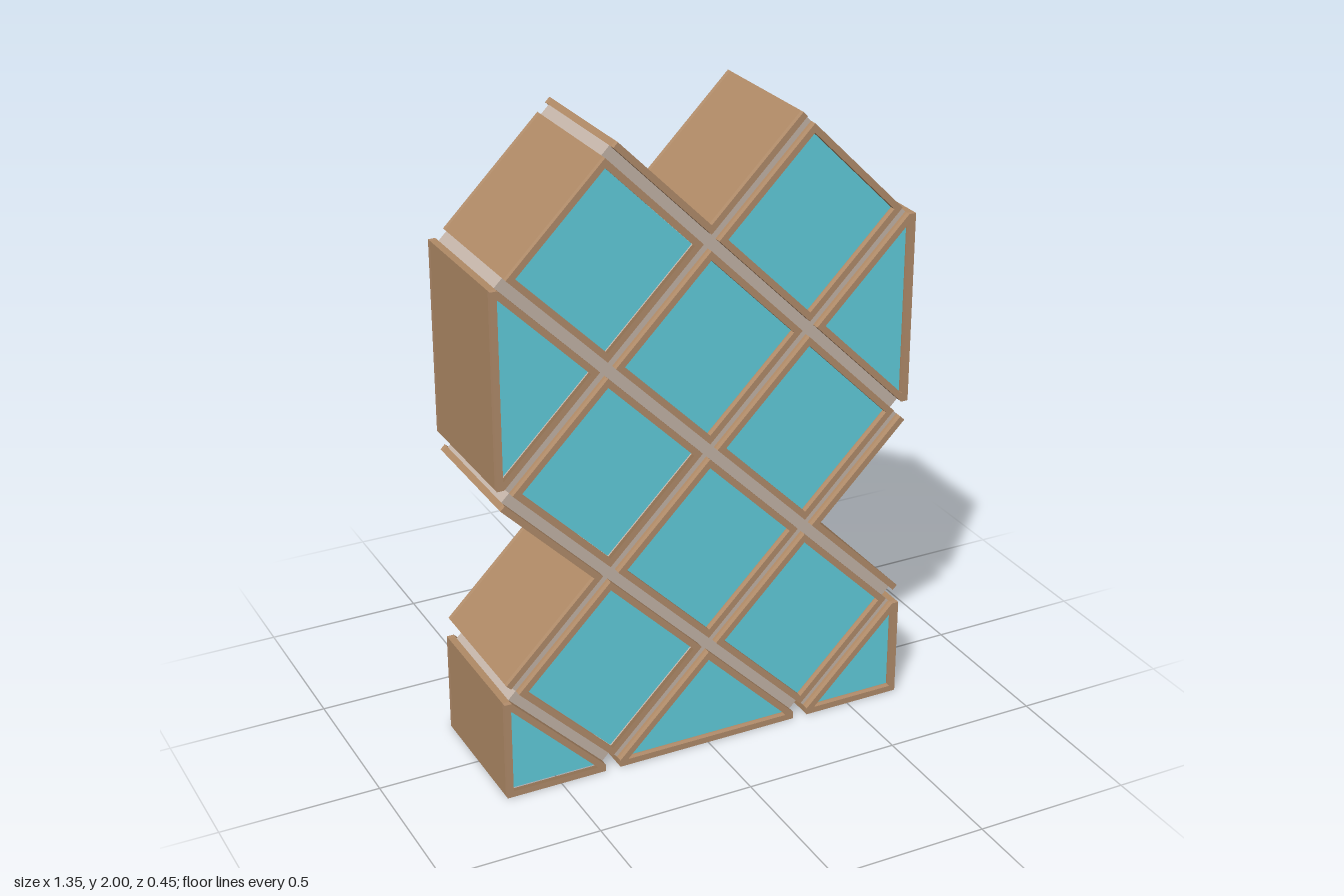
import * as THREE from 'three';

const S = 0.3272;        // lattice half-pitch
const H = 0.3025;        // outer half-diagonal of a cell
const T = 0.02;          // board thickness
const HI = H - T * Math.SQRT2; // inner half-diagonal
const W = 0.0225;        // outer wall beyond the centre line of a cut cell
const D = 0.225;         // half depth
const PANEL = 0.205, STRIP = 0.2, BAND = 0.015;

const wood = new THREE.MeshStandardMaterial({ color: 0xb08a66 });
const edgeWood = new THREE.MeshStandardMaterial({ color: 0xb48e6c });
const blue = new THREE.MeshStandardMaterial({ color: 0x62d0e0 });
const taupe = new THREE.MeshStandardMaterial({ color: 0xc6b6aa });

// Cell outlines around the cell centre: r = half-diagonal, w = reach of the straight wall
const outlines = {
  full: (r) => [[r, 0], [0, r], [-r, 0], [0, -r]],
  side: (r, w) => [[-r, 0], [0, -r], [w, -r], [w, r], [0, r]],
  bottom: (r, w) => [[0, r], [-r, 0], [-r, -w], [r, -w], [r, 0]],
  corner: (r, w) => [[w, r], [0, r], [-r, 0], [-r, -w], [w, -w]],
};

const toPoints = (pts, sx = 1) => pts.map(([x, y]) => new THREE.Vector2(x * sx, y));

function slab(shape, z0, z1, material, name) {
  const geo = new THREE.ExtrudeGeometry(shape, { depth: z1 - z0, bevelEnabled: false });
  geo.translate(0, 0, z0);
  const mesh = new THREE.Mesh(geo, material);
  mesh.name = name;
  return mesh;
}

// Board body with a thin edge band at the front and back
function boards(group, shape) {
  group.add(slab(shape, -D + BAND, D - BAND, wood, 'boards'));
  group.add(slab(shape, D - BAND, D, edgeWood, 'frontEdge'));
  group.add(slab(shape, -D, -D + BAND, edgeWood, 'backEdge'));
}

// Framed compartment closed by a recessed panel
function makeCell(kind, sx) {
  const group = new THREE.Group();
  group.name = kind + 'Cell';
  const inner = toPoints(outlines[kind](HI, W - T), sx);
  const ring = new THREE.Shape(toPoints(outlines[kind](H, W), sx));
  ring.holes.push(new THREE.Path(inner));
  boards(group, ring);
  group.add(slab(new THREE.Shape(inner), -PANEL, PANEL, blue, 'panel'));
  return group;
}

// Two boards meeting in a V, lining an open notch
function makeNotch(angle) {
  const group = new THREE.Group();
  group.name = 'notchBoards';
  const q = T / Math.SQRT2;
  boards(group, new THREE.Shape(toPoints(
    [[-H, 0], [0, -H], [H, 0], [H - q, q], [0, -H + 2 * q], [-H + q, q]])));
  group.rotation.z = angle;
  return group;
}

export function createModel() {
  const model = new THREE.Group();
  model.name = 'latticeShelf';
  const place = (obj, i, j) => {
    obj.position.set(i * S, W + j * S, 0);
    model.add(obj);
  };
  const used = new Set();

  // Compartments on the diagonal lattice
  const cells = [
    ['full', 0, 4], ['full', 0, 2], ['bottom', 0, 0],
    ...[-1, 1].flatMap((s) => [
      ['full', s, 5], ['full', s, 3], ['full', s, 1],
      ['side', 2 * s, 4], ['corner', 2 * s, 0],
    ]),
  ];
  for (const [kind, i, j] of cells) {
    place(makeCell(kind, i < 0 ? -1 : 1), i, j);
    used.add(i + ',' + j);
  }

  // Open notches at the top and on both sides
  for (const [i, j, angle] of [[0, 6, 0], [2, 2, -Math.PI / 2], [-2, 2, Math.PI / 2]]) {
    place(makeNotch(angle), i, j);
    used.add(i + ',' + j);
  }

  // Recessed spacer strips between neighbouring cells
  const gap = (S - H) * Math.SQRT2;
  const stripGeo = new THREE.BoxGeometry(H * Math.SQRT2, gap, STRIP * 2);
  for (const key of used) {
    const [i, j] = key.split(',').map(Number);
    for (const d of [-1, 1]) {
      if (!used.has((i + d) + ',' + (j + 1))) continue;
      const strip = new THREE.Mesh(stripGeo, taupe);
      strip.name = 'spacerStrip';
      strip.rotation.z = -d * Math.PI / 4;
      place(strip, i + d / 2, j + 0.5);
    }
  }

  // Square fillers where strips cross
  const nodeGeo = new THREE.BoxGeometry(gap, gap, STRIP * 2);
  for (const [i, j] of [[0, 1], [0, 3], [0, 5], [-1, 2], [1, 2], [-1, 4], [1, 4]]) {
    const node = new THREE.Mesh(nodeGeo, taupe);
    node.name = 'crossing';
    node.rotation.z = Math.PI / 4;
    place(node, i, j);
  }
  return model;
}
